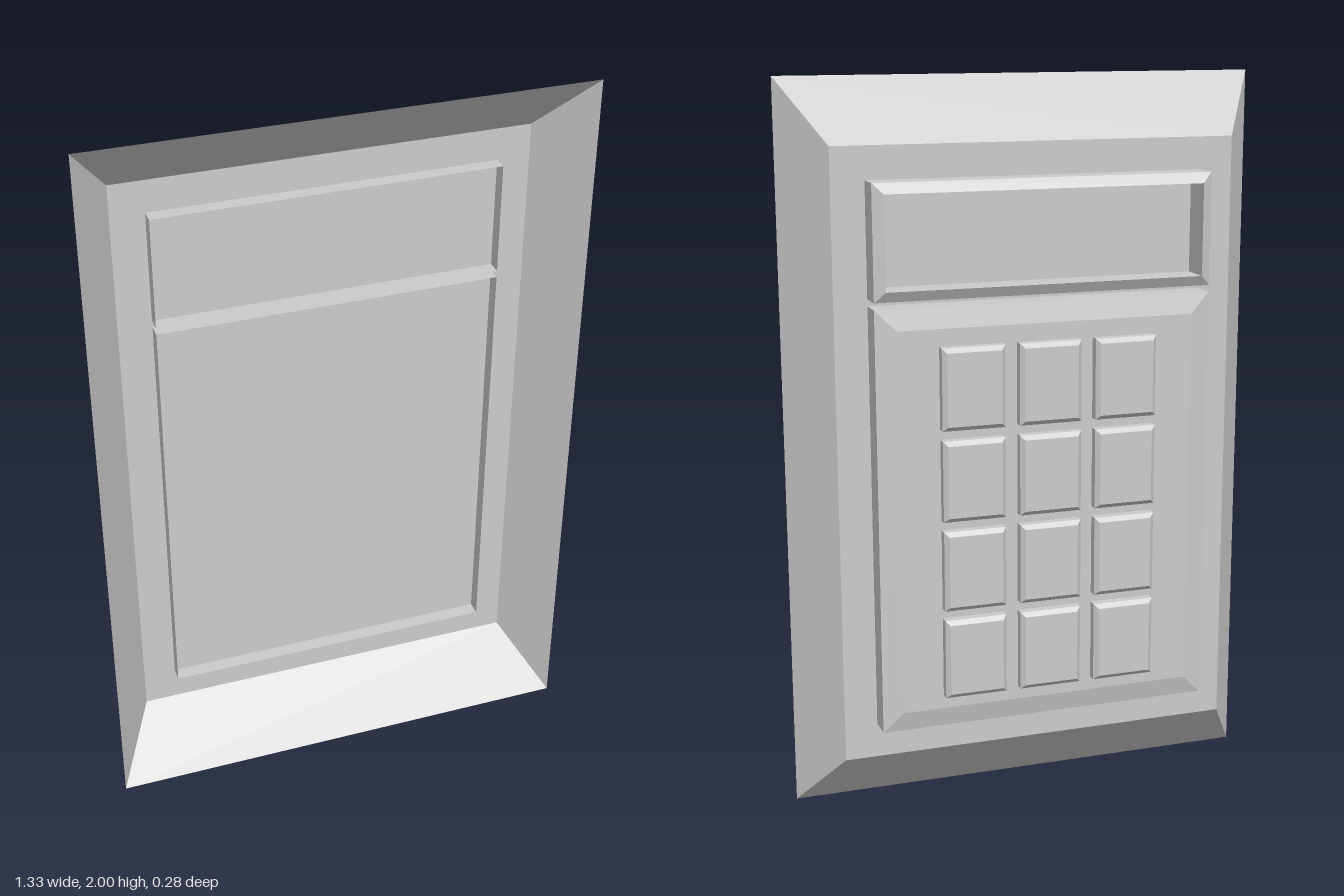
import * as THREE from 'three';

const material = new THREE.MeshStandardMaterial({
  color: 0xcccccc, flatShading: true, side: THREE.DoubleSide,
});

// Skins rectangular rings [halfWidth, halfHeight, z] from front to back;
// the last ring is closed when capped.
function rectLoft(name, rings, capped, x, y) {
  const corners = rings.map(([w, h, z]) => [[-w, -h, z], [w, -h, z], [w, h, z], [-w, h, z]]);
  const points = [];
  for (let r = 0; r < corners.length - 1; r++) {
    const a = corners[r], b = corners[r + 1];
    for (let i = 0; i < 4; i++) {
      const j = (i + 1) % 4;
      points.push(a[i], b[i], b[j], a[i], b[j], a[j]);
    }
  }
  if (capped) {
    const e = corners[corners.length - 1];
    points.push(e[0], e[3], e[2], e[0], e[2], e[1]);
  }
  const geometry = new THREE.BufferGeometry();
  geometry.setAttribute('position', new THREE.Float32BufferAttribute(points.flat(), 3));
  geometry.computeVertexNormals();
  const mesh = new THREE.Mesh(geometry, material);
  mesh.name = name;
  mesh.position.set(x, y, 0);
  return mesh;
}

export function createModel() {
  const model = new THREE.Group();
  model.name = 'keypad';

  // Flared housing, open towards the front
  model.add(rectLoft('housing', [[0.665, 1, 0.138], [0.555, 0.832, -0.02]], true, 0, 1));

  // Display surround: bevelled rim around an opening down to the housing plate
  model.add(rectLoft('displayFrame', [
    [0.465, 0.152, 0.02], [0.465, 0.152, -0.091],
    [0.437, 0.124, -0.107], [0.437, 0.124, -0.02],
  ], false, 0, 1.592));

  // Key panel with a wide bevel, its walls passing through the housing plate
  model.add(rectLoft('keyPanel', [
    [0.465, 0.578, 0.02], [0.465, 0.578, -0.09], [0.41, 0.523, -0.103],
  ], true, 0, 0.843));

  // Four rows of three bevelled keys
  const keys = new THREE.Group();
  keys.name = 'keys';
  for (let row = 0; row < 4; row++) {
    for (let col = -1; col <= 1; col++) {
      keys.add(rectLoft('key', [
        [0.086, 0.11, -0.1], [0.086, 0.11, -0.127], [0.074, 0.098, -0.138],
      ], true, col * 0.212, 0.468 + row * 0.247));
    }
  }
  model.add(keys);
  return model;
}
